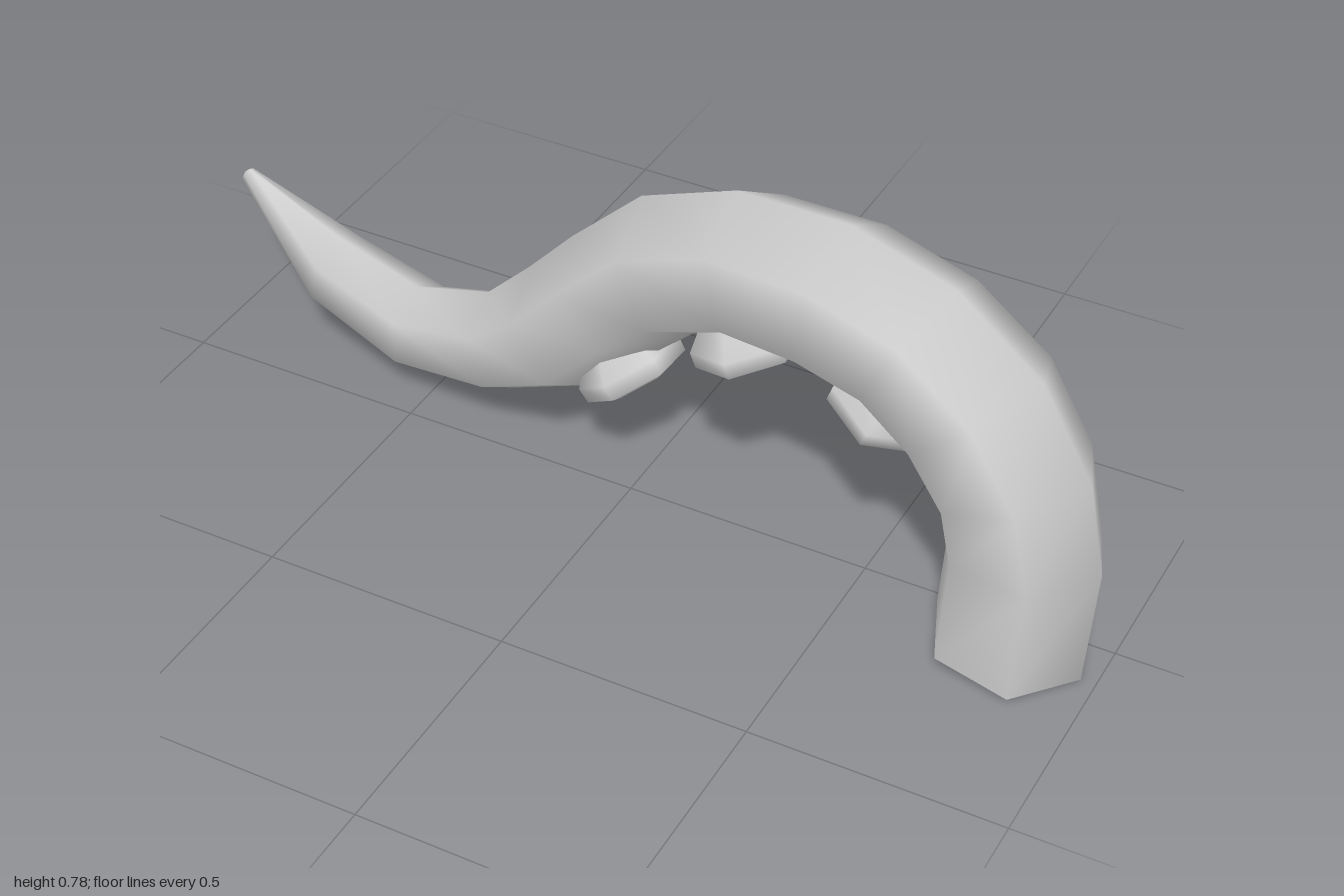
import * as THREE from 'three';

const SIDES = 6;
const material = new THREE.MeshStandardMaterial({ color: 0xcccccc });

// Outer and inner ridge point of each cross-section, base to tip: [outerX, outerY, innerX, innerY]
const SECTIONS = [
  [0.98, 0.0, 0.675, 0.035],
  [0.998, 0.255, 0.69, 0.25],
  [0.96, 0.44, 0.67, 0.335],
  [0.85, 0.61, 0.61, 0.41],
  [0.67, 0.73, 0.53, 0.46],
  [0.45, 0.778, 0.42, 0.475],
  [0.21, 0.755, 0.28, 0.47],
  [0.0, 0.66, 0.12, 0.4],
  [-0.16, 0.505, 0.03, 0.315],
  [-0.265, 0.39, -0.1, 0.18],
  [-0.37, 0.285, -0.3, 0.083],
  [-0.55, 0.222, -0.55, 0.038],
  [-0.745, 0.258, -0.785, 0.103],
  [-0.985, 0.333, -1.0, 0.305],
];

// Hexagonal ring with one corner on each ridge
function ring([ox, oy, ix, iy]) {
  const cx = (ox + ix) / 2, cy = (oy + iy) / 2;
  const vx = (ox - ix) / 2, vy = (oy - iy) / 2;
  const r = Math.hypot(vx, vy);
  return Array.from({ length: SIDES }, (_, k) => {
    const a = (k / SIDES) * Math.PI * 2;
    return [cx + vx * Math.cos(a), cy + vy * Math.cos(a), r * Math.sin(a)];
  });
}

function makeGeometry(points, index) {
  const geometry = new THREE.BufferGeometry();
  geometry.setAttribute('position', new THREE.Float32BufferAttribute(points.flat(), 3));
  geometry.setIndex(index);
  geometry.computeVertexNormals();
  return geometry;
}

function addMesh(parent, name, geometry) {
  const mesh = new THREE.Mesh(geometry, material);
  mesh.name = name;
  parent.add(mesh);
  return mesh;
}

function armGeometry() {
  const points = SECTIONS.flatMap(ring);
  const index = [];
  const last = SECTIONS.length - 1;
  for (let i = 0; i < last; i++) {
    for (let k = 0; k < SIDES; k++) {
      const n = (k + 1) % SIDES;
      const a = i * SIDES + k, b = i * SIDES + n;
      index.push(a, a + SIDES, b, b, a + SIDES, b + SIDES);
    }
  }
  // Close the tip
  const [ox, oy, ix, iy] = SECTIONS[last];
  const tip = points.length;
  points.push([(ox + ix) / 2 - 0.006, (oy + iy) / 2 + 0.003, 0]);
  for (let k = 0; k < SIDES; k++) {
    index.push(last * SIDES + k, tip, last * SIDES + ((k + 1) % SIDES));
  }
  return makeGeometry(points, index);
}

function baseGeometry() {
  const index = [];
  for (let k = 1; k < SIDES - 1; k++) index.push(0, k, k + 1);
  return makeGeometry(ring(SECTIONS[0]), index);
}

// Cup with a thick rim and a sunken floor, opening along +y
const cupGeometry = new THREE.LatheGeometry(
  [[0.07, -0.09], [0.108, -0.035], [0.106, -0.004], [0.08, 0.004], [0.066, -0.008], [0.058, -0.03], [0, -0.032]]
    .map(([r, h]) => new THREE.Vector2(r, h)),
  SIDES, THREE.MathUtils.degToRad(17));

// Rim centre and facing direction of each sucker
const SUCKERS = [
  { x: 0.53, y: 0.412, ax: -0.4, ay: -0.92 },
  { x: 0.25, y: 0.412, ax: 0.34, ay: -0.94 },
  { x: -0.008, y: 0.238, ax: 0.6, ay: -0.8 },
];

export function createModel() {
  const model = new THREE.Group();
  model.name = 'tentacle';

  // The curl lies in an upright plane, turned slightly about y
  const curl = new THREE.Group();
  curl.name = 'curledArm';
  curl.rotation.y = -0.139;
  curl.position.z = -0.041;
  model.add(curl);

  addMesh(curl, 'arm', armGeometry());
  addMesh(curl, 'baseCap', baseGeometry());

  for (const { x, y, ax, ay } of SUCKERS) {
    const sucker = addMesh(curl, 'sucker', cupGeometry);
    const axis = new THREE.Vector3(ax, ay, 0).normalize();
    const along = new THREE.Vector3(-axis.y, axis.x, 0);
    const side = new THREE.Vector3().crossVectors(axis, along);
    sucker.quaternion.setFromRotationMatrix(new THREE.Matrix4().makeBasis(side, axis, along));
    sucker.position.set(x, y, 0);
  }
  return model;
}
